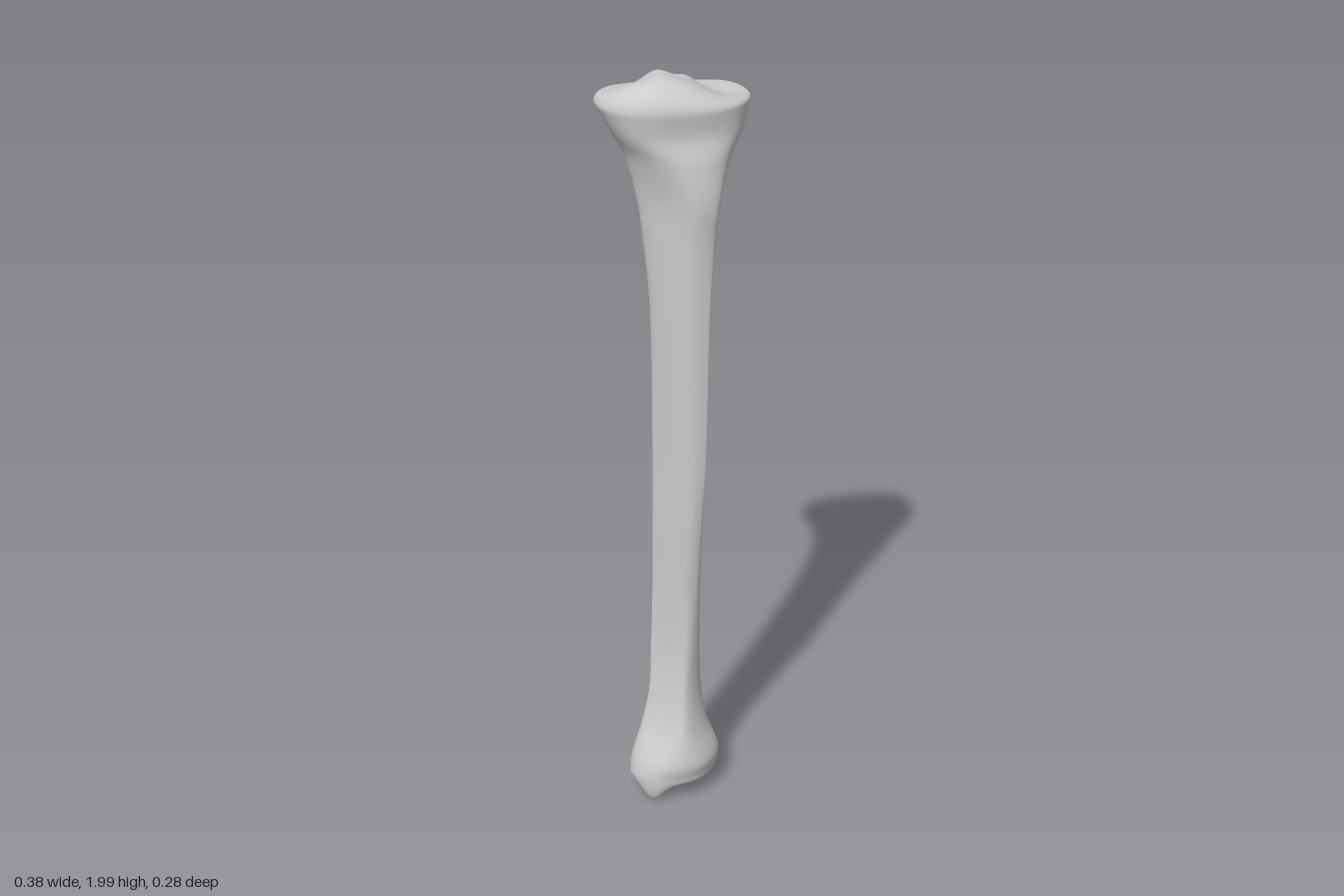
import * as THREE from 'three';

// Cross-sections of the bone, from the ankle to the knee: height, then the reach
// from the axis in eight directions: +x, +x+z, +z, -x+z, -x, -x-z, -z, +x-z
const SECTIONS = [
  [0.07, 0.105, 0.122, 0.138, 0.154, 0.137, 0.078, 0.060, 0.072],
  [0.11, 0.110, 0.127, 0.143, 0.145, 0.130, 0.079, 0.058, 0.074],
  [0.20, 0.080, 0.098, 0.120, 0.102, 0.099, 0.060, 0.038, 0.060],
  [0.30, 0.065, 0.081, 0.096, 0.077, 0.077, 0.045, 0.036, 0.058],
  [0.42, 0.060, 0.078, 0.085, 0.062, 0.070, 0.040, 0.037, 0.055],
  [0.60, 0.055, 0.085, 0.085, 0.060, 0.065, 0.040, 0.035, 0.055],
  [0.80, 0.055, 0.100, 0.100, 0.066, 0.065, 0.036, 0.030, 0.053],
  [1.00, 0.056, 0.117, 0.115, 0.072, 0.065, 0.036, 0.025, 0.050],
  [1.40, 0.061, 0.127, 0.125, 0.087, 0.070, 0.045, 0.030, 0.045],
  [1.60, 0.075, 0.135, 0.130, 0.093, 0.086, 0.066, 0.050, 0.051],
  [1.70, 0.090, 0.145, 0.139, 0.098, 0.100, 0.080, 0.060, 0.068],
  [1.80, 0.128, 0.145, 0.129, 0.120, 0.125, 0.135, 0.072, 0.128],
  [1.86, 0.168, 0.150, 0.114, 0.145, 0.158, 0.172, 0.106, 0.172],
  [1.92, 0.188, 0.152, 0.120, 0.160, 0.190, 0.186, 0.137, 0.190],
];
const BOTTOM = SECTIONS[0][0];
const TOP = SECTIONS[SECTIONS.length - 1][0];
const CORNER_STEPS = 10;
const SIDES = 8 * CORNER_STEPS;

// Smooth interpolation of the eight reaches at height y
function reachesAt(y) {
  const S = SECTIONS, last = S.length - 1;
  let i = 0;
  while (i < last - 1 && y > S[i + 1][0]) i++;
  const h = S[i + 1][0] - S[i][0];
  const t = THREE.MathUtils.clamp((y - S[i][0]) / h, 0, 1);
  const slope = (j, k) => {
    const a = S[Math.max(j - 1, 0)], b = S[Math.min(j + 1, last)];
    return (b[k] - a[k]) / (b[0] - a[0]);
  };
  const out = [];
  for (let k = 1; k <= 8; k++) {
    const p = S[i][k], q = S[i + 1][k];
    out.push((2 * t ** 3 - 3 * t * t + 1) * p + (t ** 3 - 2 * t * t + t) * h * slope(i, k)
      + (3 * t * t - 2 * t ** 3) * q + (t ** 3 - t * t) * h * slope(i + 1, k));
  }
  return out;
}

// Rounded octagon that touches the eight reaches, as [x, z] points
function outlineAt(y) {
  const d = reachesAt(y), s45 = Math.SQRT1_2;
  const corners = d.map((a, k) => {
    const b = d[(k + 1) % 8], ang = k * Math.PI / 4;
    const along = (b - a * s45) / s45;
    return [a * Math.cos(ang) - along * Math.sin(ang), a * Math.sin(ang) + along * Math.cos(ang)];
  });
  const points = [];
  corners.forEach((c, k) => {
    const p = corners[(k + 7) % 8], n = corners[(k + 1) % 8];
    for (let j = 0; j < CORNER_STEPS; j++) {
      const t = j / CORNER_STEPS;
      points.push([0, 1].map((m) => (1 - t) ** 2 * (p[m] + c[m]) / 2
        + 2 * t * (1 - t) * c[m] + t * t * (c[m] + n[m]) / 2));
    }
  });
  return points;
}

const bump = (x, z, cx, cz, sx, sz) =>
  Math.exp(-0.5 * (((x - cx) / sx) ** 2 + ((z - cz) / sz) ** 2));

// Knee plateau: raised front, two central spines, dished condyles
const plateau = (x, z) => 1.932
  + 0.055 * bump(x, z, -0.035, 0.045, 0.085, 0.055)
  + 0.035 * bump(x, z, -0.035, -0.04, 0.03, 0.035)
  + 0.025 * bump(x, z, 0.035, -0.04, 0.025, 0.035)
  + 0.012 * bump(x, z, -0.14, -0.02, 0.06, 0.08)
  - 0.01 * bump(x, z, 0.11, -0.02, 0.04, 0.05);

// Ankle joint face: shallow hollow, with the inner ankle point hanging down
const ankleFace = (x, z) => 0.045
  + 0.02 * bump(x, z, 0, 0.04, 0.06, 0.04)
  - 0.052 * bump(x, z, -0.088, 0.105, 0.026, 0.032);

// Rings that close an end, following a height rule with a rounded rim
function capRings(y, height, steps) {
  const outline = outlineAt(y);
  const cx = outline.reduce((s, p) => s + p[0], 0) / SIDES;
  const cz = outline.reduce((s, p) => s + p[1], 0) / SIDES;
  const rings = [];
  for (let k = 1; k <= steps; k++) {
    const s = Math.max(Math.cos(k / steps * Math.PI / 2), 0.001);
    const blend = Math.sqrt(1 - s ** 12);
    rings.push(outline.map(([px, pz]) => {
      const x = cx + (px - cx) * s, z = cz + (pz - cz) * s;
      return [x, y + (height(x, z) - y) * blend, z];
    }));
  }
  return rings;
}

// Skin over a stack of rings, ordered from bottom to top
function loft(rings) {
  const index = [];
  for (let j = 0; j < rings.length - 1; j++) {
    for (let i = 0; i < SIDES; i++) {
      const a = j * SIDES + i, b = j * SIDES + (i + 1) % SIDES;
      index.push(a, a + SIDES, b, b, a + SIDES, b + SIDES);
    }
  }
  const geometry = new THREE.BufferGeometry();
  geometry.setAttribute('position', new THREE.Float32BufferAttribute(rings.flat(2), 3));
  geometry.setIndex(index);
  geometry.computeVertexNormals();
  return geometry;
}

export function createModel() {
  const group = new THREE.Group();
  group.name = 'shinBone';

  // Shaft rings, closer together at the flared ends
  const shaft = [];
  const rows = 90;
  for (let j = 0; j <= rows; j++) {
    const t = j / rows;
    const y = BOTTOM + (TOP - BOTTOM) * (t - 0.1 * Math.sin(2 * Math.PI * t));
    shaft.push(outlineAt(y).map(([x, z]) => [x, y, z]));
  }

  const rings = [
    ...capRings(BOTTOM, ankleFace, 24).reverse(),
    ...shaft,
    ...capRings(TOP, plateau, 24),
  ];
  const bone = new THREE.Mesh(loft(rings), new THREE.MeshStandardMaterial({ color: 0xcccccc }));
  bone.name = 'bone';
  group.add(bone);
  return group;
}
